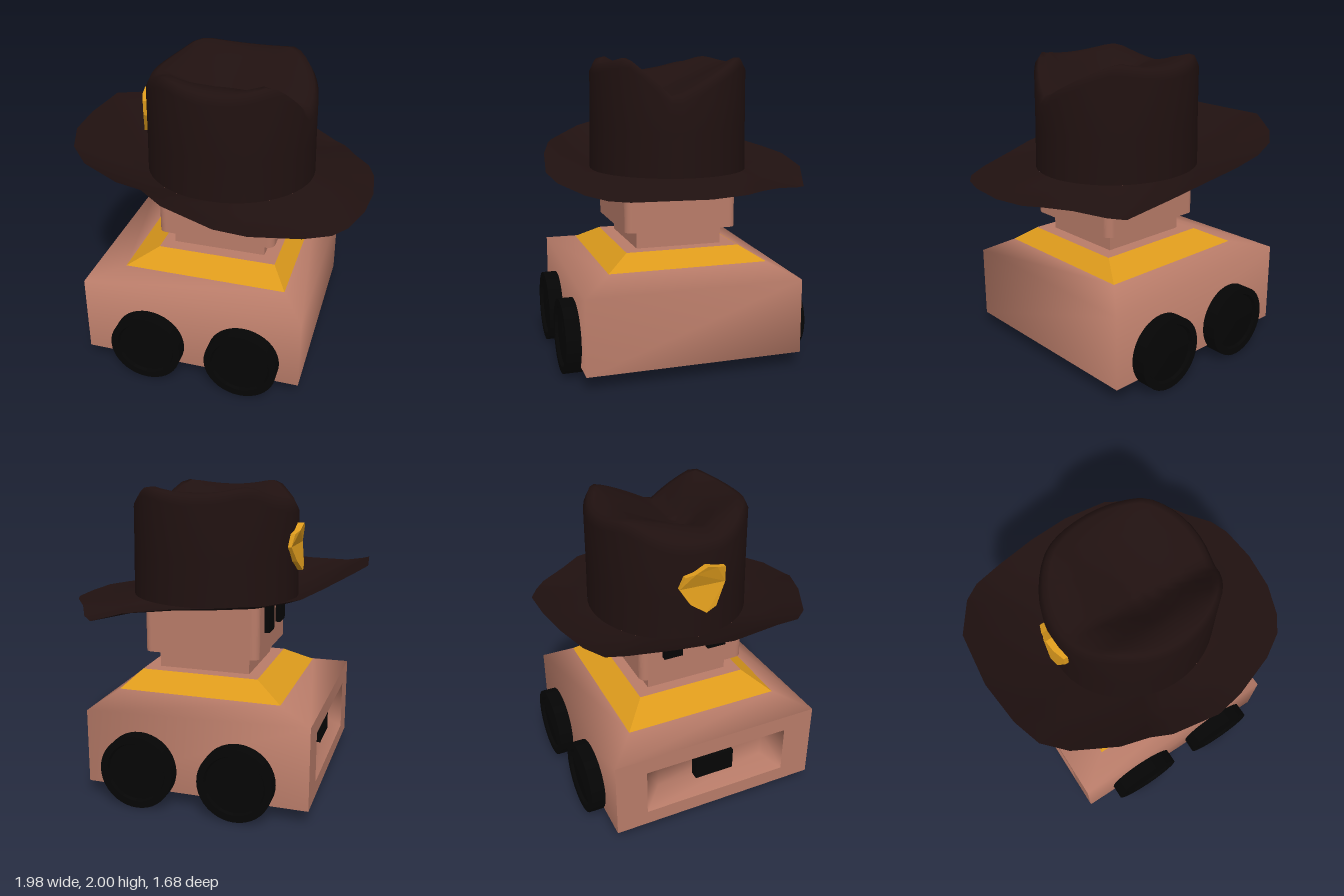
import * as THREE from 'three';
import { mergeGeometries } from 'three/addons/utils/BufferGeometryUtils.js';

const mat = (color, opts = {}) => new THREE.MeshStandardMaterial({ color, ...opts });
const skin = mat(0xb97c69);
const gold = mat(0xdc9a1c);
const black = mat(0x050505);
const felt = mat(0x201110, { side: THREE.DoubleSide });

// Joins closed rings of [x, y, z] points; optional cap on the last ring, optional side to leave open.
function loft(rings, { cap = true, skip = -1, smooth = false } = {}) {
  const n = rings[0].length;
  const index = [];
  for (let r = 0; r < rings.length - 1; r++) {
    for (let i = 0; i < n; i++) {
      if (r === 0 && i === skip) continue;
      const a = r * n + i, b = r * n + (i + 1) % n;
      index.push(a, b, b + n, a, b + n, a + n);
    }
  }
  const last = (rings.length - 1) * n;
  if (cap) for (let i = 1; i < n - 1; i++) index.push(last, last + i, last + i + 1);
  let g = new THREE.BufferGeometry();
  g.setAttribute('position', new THREE.Float32BufferAttribute(rings.flat(2), 3));
  g.setIndex(index);
  g.computeVertexNormals();
  g = g.toNonIndexed();
  if (!smooth) g.computeVertexNormals();
  return g;
}

// Rectangle seen from above, with separate heights at its -x and +x ends.
const rectXZ = (x0, x1, z0, z1, yL, yR = yL) =>
  [[x0, yL, z1], [x1, yR, z1], [x1, yR, z0], [x0, yL, z0]];
// Rectangle seen from the -x side.
const rectYZ = (x, w, y0, y1) => [[x, y0, -w], [x, y0, w], [x, y1, w], [x, y1, -w]];

const lerp = THREE.MathUtils.lerp;
const HAT_X = 0.03, HAT_RX = 0.56, HAT_RZ = 0.52;

function createBody() {
  const edge = rectXZ(-0.78, 0.68, -0.71, 0.71, 0.64, 0.59);
  const shoulder = rectXZ(-0.55, 0.53, -0.52, 0.53, 0.69);
  const walls = loft([rectXZ(-0.78, 0.68, -0.71, 0.71, 0.1), edge, shoulder],
    { cap: false, skip: 3, smooth: true });
  // recessed panel on the -x wall
  const frame = rectYZ(-0.78, 0.5, 0.2, 0.53);
  const panel = [
    loft([rectYZ(-0.78, 0.71, 0.1, 0.64), frame], { cap: false }),
    loft([frame, rectYZ(-0.68, 0.38, 0.3, 0.49)], { smooth: true }),
  ];
  // underside rises to a shallow ridge
  const under = [[-0.78, 0.1, -0.35, 0.25], [-0.35, 0.25, 0.68, 0.1]].map(([x0, y0, x1, y1]) =>
    loft([rectXZ(x0, x1, -0.71, 0.71, y0, y1).reverse()]));
  const top = loft([rectXZ(-0.36, 0.43, -0.36, 0.39, 0.79)]);
  return mergeGeometries([walls, ...panel, ...under, top]);
}

// Block with rounded upright edges, standing on y = 0
function createHead(w, h, d, r) {
  const x = w / 2 - r, z = d / 2 - r, q = Math.PI / 2;
  const shape = new THREE.Shape();
  [[x, z], [-x, z], [-x, -z], [x, -z]].forEach(([cx, cz], i) =>
    shape.absarc(cx, cz, r, i * q, (i + 1) * q));
  return new THREE.ExtrudeGeometry(shape, { depth: h, bevelEnabled: false, curveSegments: 5 })
    .rotateX(-Math.PI / 2);
}

// Height of the pinched crown top at a point
function crownTop(x, z) {
  const ridge = 1.965 + 0.04 * Math.min(1, (x - 0.05) ** 2 / 0.09);
  const valley = 1.76 + Math.max(0, -x) * 0.45;
  const d = z - 0.11;
  const k = Math.min(1, d > 0 ? d / 0.25 : -d / 0.47);
  return lerp(valley, ridge, k) - Math.max(0, -x - 0.32) * 0.5;
}

function createCrown() {
  const ring = (s, height) => Array.from({ length: 48 }, (_, i) => {
    const a = (i / 48) * Math.PI * 2;
    const x = HAT_X + HAT_RX * s * Math.cos(a), z = -HAT_RZ * s * Math.sin(a);
    return [x, height(x, z), z];
  });
  return loft([
    ring(1, () => 1.27),
    ring(0.99, () => 1.55),
    ring(0.985, (x, z) => crownTop(x, z) - 0.07),
    ring(0.93, (x, z) => crownTop(x, z) - 0.01),
    ...[0.86, 0.7, 0.55, 0.4, 0.25, 0.12, 0.01].map((s) => ring(s, crownTop)),
  ], { smooth: true });
}

function createBrim() {
  // rim points, counter-clockwise from above
  const rim = [
    [0.985, 1.21, 0.03], [0.96, 1.22, -0.2], [0.91, 1.23, -0.32], [0.8, 1.22, -0.47],
    [0.7, 1.2, -0.65], [0.62, 1.19, -0.73], [0.36, 1.28, -0.83], [0.05, 1.33, -0.845],
    [-0.23, 1.35, -0.82], [-0.5, 1.37, -0.77], [-0.7, 1.41, -0.71], [-0.81, 1.46, -0.62],
    [-0.95, 1.52, -0.4], [-0.99, 1.51, -0.05], [-0.96, 1.52, 0.25], [-0.9, 1.48, 0.43],
    [-0.77, 1.44, 0.56], [-0.5, 1.42, 0.7], [-0.32, 1.42, 0.75], [-0.18, 1.36, 0.8],
    [0.15, 1.28, 0.84], [0.35, 1.24, 0.8], [0.65, 1.21, 0.69], [0.81, 1.2, 0.59],
    [0.89, 1.2, 0.48], [0.96, 1.21, 0.28],
  ];
  const ring = (t) => rim.map(([x, y, z]) => {
    const a = Math.atan2(z / HAT_RZ, (x - HAT_X) / HAT_RX);
    const ix = HAT_X + HAT_RX * Math.cos(a), iz = HAT_RZ * Math.sin(a);
    return [lerp(x, ix, t), lerp(y, 1.27, t) - 0.04 * t * (1 - t), lerp(z, iz, t)];
  });
  return loft([0, 0.33, 0.66, 1].map(ring), { cap: false, smooth: true });
}

// Shield-like plate wrapped around the crown
function createBadge() {
  const pts = [[0, 1.45], [0.07, 1.48], [0.14, 1.62], [0.14, 1.72], [0.07, 1.74], [0, 1.76],
    [-0.07, 1.72], [-0.13, 1.7], [-0.16, 1.62], [-0.1, 1.52]];
  const shape = new THREE.Shape(pts.map(([z, y]) => new THREE.Vector2(z, y)));
  const g = new THREE.ExtrudeGeometry(shape, { depth: 0.05, bevelEnabled: false });
  g.rotateY(-Math.PI / 2);
  const p = g.attributes.position;
  for (let i = 0; i < p.count; i++) p.setX(i, p.getX(i) - 0.515 + 1.8 * p.getZ(i) ** 2);
  g.computeVertexNormals();
  return g;
}

export function createModel() {
  const model = new THREE.Group();
  const add = (name, geometry, material, x = 0, y = 0, z = 0) => {
    const mesh = new THREE.Mesh(geometry, material);
    mesh.name = name;
    mesh.position.set(x, y, z);
    model.add(mesh);
    return mesh;
  };

  // body and collar
  add('body', createBody(), skin);
  add('collar', loft([
    rectXZ(-0.55, 0.53, -0.52, 0.53, 0.69), rectXZ(-0.36, 0.43, -0.36, 0.39, 0.79),
  ], { cap: false }), gold);
  add('panelButton', new THREE.BoxGeometry(0.06, 0.15, 0.27), black, -0.71, 0.39, 0);

  // wheels with a rimmed outer face
  const profile = [[0, 0], [0.24, 0], [0.24, 0], [0.24, 0.165], [0.24, 0.165], [0.195, 0.165],
    [0.195, 0.165], [0.185, 0.145], [0.185, 0.145], [0, 0.155]].map(([r, y]) => new THREE.Vector2(r, y));
  const wheel = new THREE.LatheGeometry(profile, 40).rotateX(Math.PI / 2);
  for (const side of [1, -1]) {
    for (const x of [-0.335, 0.31]) {
      add('wheel', wheel, black, x, 0.245, side * 0.64).rotation.y = side > 0 ? 0 : Math.PI;
    }
  }

  // neck, head and eyes
  add('neck', new THREE.BoxGeometry(0.62, 0.14, 0.57), skin, 0.03, 0.85, 0.015);
  add('head', createHead(0.78, 0.69, 0.74, 0.05), skin, 0.03, 0.91, 0.02);
  for (const z of [-0.135, 0.175]) {
    add('eye', new THREE.BoxGeometry(0.05, 0.2, 0.13), black, -0.37, 1.16, z);
  }

  // hat
  add('hatCrown', createCrown(), felt);
  add('hatBrim', createBrim(), felt);
  add('hatBadge', createBadge(), gold);

  return model;
}
